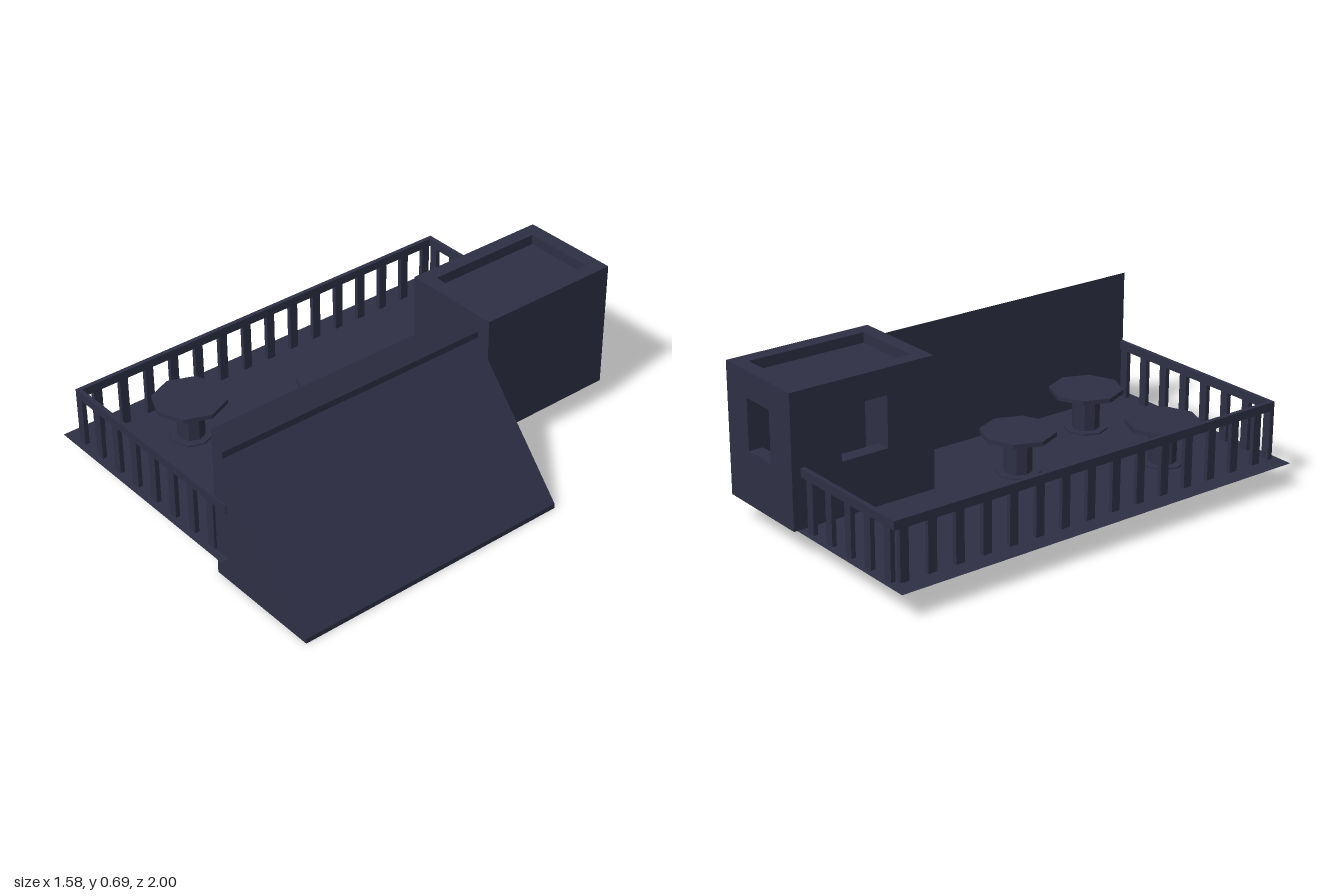
import * as THREE from 'three';

const slate = new THREE.MeshStandardMaterial({ color: 0x2e2f45, flatShading: true });
slate.name = 'darkSlate';
const slateSheet = new THREE.MeshStandardMaterial({ color: 0x2e2f45, side: THREE.DoubleSide });
slateSheet.name = 'darkSlateSheet';

function add(parent, name, geometry, material = slate) {
  const mesh = new THREE.Mesh(geometry, material);
  mesh.name = name;
  parent.add(mesh);
  return mesh;
}

// Box given by its minimum and maximum corners
function block(parent, name, [x0, y0, z0], [x1, y1, z1]) {
  const mesh = add(parent, name, new THREE.BoxGeometry(x1 - x0, y1 - y0, z1 - z0));
  mesh.position.set((x0 + x1) / 2, (y0 + y1) / 2, (z0 + z1) / 2);
  return mesh;
}

function polygon(points) {
  return new THREE.Shape(points.map(([x, y]) => new THREE.Vector2(x, y)));
}

// Upright wall panel with one rectangular window opening
function windowWall(parent, name, u0, u1, y0, y1, hole, depth) {
  const shape = polygon([[u0, y0], [u1, y0], [u1, y1], [u0, y1]]);
  const [a, b, c, d] = hole;
  shape.holes.push(polygon([[a, c], [a, d], [b, d], [b, c]]));
  return add(parent, name, new THREE.ExtrudeGeometry(shape, { depth, bevelEnabled: false }));
}

const DECK = 0.11, RAIL_LOW = 0.33, RAIL_TOP = 0.368;

function makeRailing() {
  const g = new THREE.Group();
  g.name = 'railing';
  const step = 0.128, t = 0.02, w = 0.04;
  block(g, 'frontRail', [-0.71, RAIL_LOW, 0.95], [0.31, RAIL_TOP, 0.97]);
  block(g, 'backRail', [-0.71, RAIL_LOW, -0.96], [-0.095, RAIL_TOP, -0.94]);
  block(g, 'sideRail', [-0.71, RAIL_LOW, -0.94], [-0.69, RAIL_TOP, 0.95]);
  for (let i = 0; i < 8; i++) {
    const x = -0.71 + i * step;
    block(g, 'frontPost', [x, DECK, 0.95], [x + w, RAIL_LOW, 0.95 + t]);
  }
  for (let i = 0; i < 5; i++) {
    const x = -0.685 + i * step;
    block(g, 'backPost', [x, DECK, -0.96], [x + w, RAIL_LOW, -0.96 + t]);
  }
  for (let i = 0; i < 15; i++) {
    const z = -0.935 + i * step;
    block(g, 'sidePost', [-0.71, DECK, z], [-0.71 + t, RAIL_LOW, z + w]);
  }
  return g;
}

// Hollow hut with two windows and a sunken roof
function makeHut() {
  const g = new THREE.Group();
  g.name = 'hut';
  const x0 = -0.095, x1 = 0.36, z0 = -1, z1 = -0.325, top = 0.685, t = 0.065;
  windowWall(g, 'backWall', x0, x1, DECK, top, [0.055, 0.215, 0.345, 0.57], t).position.z = z0;
  const side = windowWall(g, 'windowSideWall', -z1, -z0 - t, DECK, top, [0.55, 0.77, 0.345, 0.57], t);
  side.rotation.y = Math.PI / 2;
  side.position.x = x0;
  block(g, 'plainSideWall', [x1 - t, DECK, z0 + t], [x1, top, z1]);
  block(g, 'frontWall', [x0 + t, DECK, z1 - t], [x1 - t, top, z1]);
  block(g, 'sunkenRoof', [x0 + t, 0.61, z0 + t], [x1 - t, 0.64, z1 - t]);
  block(g, 'hutFloor', [x0 + t, DECK, z0 + t], [x1 - t, DECK + 0.01, z1 - t]);
  return g;
}

function makeTable(x, z) {
  const g = new THREE.Group();
  g.name = 'table';
  const parts = [['tableTop', 0.16, 0.276, 0.295], ['tableColumn', 0.06, 0.115, 0.276], ['tableBase', 0.095, 0.104, 0.117]];
  for (const [name, r, y0, y1] of parts) {
    add(g, name, new THREE.CylinderGeometry(r, r, y1 - y0, 8)).position.y = (y0 + y1) / 2;
  }
  g.position.set(x, 0, z);
  return g;
}

export function createModel() {
  const model = new THREE.Group();
  model.name = 'terrace';

  // Thin deck
  const deck = add(model, 'deck', new THREE.PlaneGeometry(1.1, 1.985), slateSheet);
  deck.rotation.x = -Math.PI / 2;
  deck.position.set(-0.24, DECK, 0.0075);

  // Sloping roof wedge with a stepped ridge
  const profile = polygon([[0.235, 0], [0.785, 0], [0.785, 0.022], [0.3, 0.583], [0.3, 0.612], [0.235, 0.685]]);
  const wedge = add(model, 'roofWedge', new THREE.ExtrudeGeometry(profile, { depth: 1.287, bevelEnabled: false }));
  wedge.position.z = -0.322;

  model.add(makeRailing(), makeHut());
  for (const [x, z] of [[-0.165, 0.05], [-0.45, 0.59], [0.03, 0.58]]) model.add(makeTable(x, z));
  return model;
}
